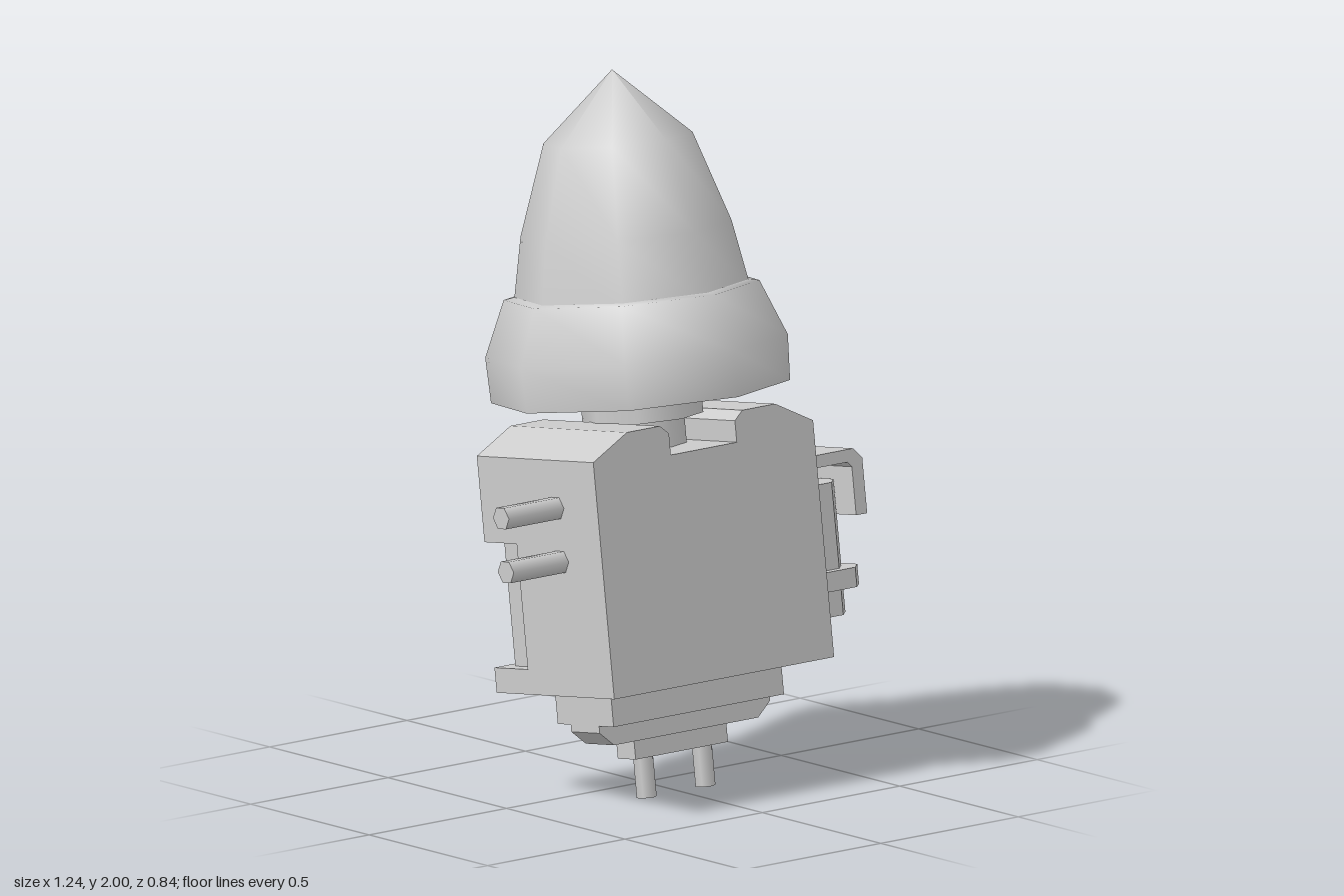
import * as THREE from 'three';

const grey = new THREE.MeshStandardMaterial({ color: 0xcccccc });

export function createModel() {
  const root = new THREE.Group();
  root.name = 'tiltedPlugLamp';
  // Everything is built upright around its own axis, then leaned back.
  const tilt = new THREE.Group();
  tilt.name = 'leaningAssembly';
  tilt.position.set(-0.02, 0, 0.16);
  tilt.rotation.x = -0.135;
  root.add(tilt);

  const add = (name, geometry) => {
    const mesh = new THREE.Mesh(geometry, grey);
    mesh.name = name;
    tilt.add(mesh);
    return mesh;
  };
  const box = (name, x0, x1, y0, y1, z0, z1) =>
    add(name, new THREE.BoxGeometry(x1 - x0, y1 - y0, z1 - z0))
      .position.set((x0 + x1) / 2, (y0 + y1) / 2, (z0 + z1) / 2);
  const outline = (pts) => new THREE.Shape(pts.map(([a, b]) => new THREE.Vector2(a, b)));
  // Front outline (x, y) run through the depth z0..z1
  const slab = (name, pts, z0, z1) =>
    add(name, new THREE.ExtrudeGeometry(outline(pts), { depth: z1 - z0, bevelEnabled: false }))
      .position.z = z0;
  // Plan outline (x, z) run through the height y0..y1
  const prism = (name, pts, y0, y1) => {
    const g = new THREE.ExtrudeGeometry(outline(pts.map(([x, z]) => [x, -z])), { depth: y1 - y0, bevelEnabled: false });
    g.rotateX(-Math.PI / 2);
    add(name, g).position.y = y0;
  };
  const lathe = (name, pts) =>
    add(name, new THREE.LatheGeometry(pts.map(([r, y]) => new THREE.Vector2(r, y)), 8));
  const rod = (name, r, length, sides, x, y, z, sideways) => {
    const m = add(name, new THREE.CylinderGeometry(r, r, length, sides));
    m.position.set(x, y, z);
    if (sideways) m.rotation.z = -Math.PI / 2;
  };
  const mirror = (pts) => [...pts, ...pts.map(([x, y]) => [-x, y]).reverse()];

  // Pointed bulb, collar and neck
  lathe('bulb', [[0.33, 1.38], [0.293, 1.575], [0.207, 1.828], [0, 2.018]]);
  lathe('collar', [[0.415, 1.12], [0.42, 1.247], [0.355, 1.403], [0.31, 1.41]]);
  lathe('collarUnderside', [[0, 1.12], [0.415, 1.12]]);
  rod('neckFlange', 0.168, 0.08, 8, 0, 1.09, 0);
  rod('neck', 0.115, 0.12, 8, 0, 1.01, 0);

  // Housing: shoulders with a notch for the neck
  const shoulders = [[0.12, 0.97], [0.12, 1.03], [0.15, 1.055], [0.27, 1.055], [0.4, 0.99]];
  slab('housingFront', mirror([...shoulders, [0.4, 0.33]]), -0.11, 0.249);
  slab('housingBack', mirror([...shoulders, [0.4, 0.75], [0.21, 0.75], [0.17, 0.7], [0.17, 0.57], [0.13, 0.53]]),
    -0.247, -0.11);
  box('basePlate', -0.4, 0.4, 0.33, 0.4, -0.252, 0.249);
  for (const s of [-1, 1]) box('rearColumn', s * 0.28 - 0.08, s * 0.28 + 0.08, 0.39, 0.77, -0.21, -0.1);

  // Bevelled plate on the back, narrowing outwards
  const plate = new THREE.BoxGeometry(0.34, 0.35, 0.08);
  const p = plate.attributes.position;
  for (let i = 0; i < p.count; i++) {
    if (p.getZ(i) < 0) p.setXY(i, p.getX(i) * 0.78, p.getY(i) * 0.78);
  }
  plate.computeVertexNormals();
  add('backPlate', plate).position.set(0, 0.768, -0.267);

  // Stepped foot with two prongs
  box('footUpper', -0.31, 0.31, 0.235, 0.34, -0.11, 0.128);
  slab('footMiddle', mirror([[0.31, 0.24], [0.31, 0.215], [0.262, 0.175]]), -0.055, 0.066);
  box('footLower', -0.168, 0.168, 0.12, 0.18, -0.036, 0.04);
  for (const s of [-1, 1]) rod('prong', 0.028, 0.14, 6, s * 0.107, 0.075, 0);

  // Two terminals on one side
  for (const y of [0.707, 0.857]) rod('sideTerminal', 0.034, 0.24, 6, -0.48, y, 0.072, true);

  // Canister with its band on the other side
  const half = (x, hz, c) => [[0.38, 0.065 - hz], [x - c, 0.065 - hz], [x, 0.065 - hz + c],
    [x, 0.065 + hz - c], [x - c, 0.065 + hz], [0.38, 0.065 + hz]];
  prism('canister', half(0.55, 0.12, 0.05), 0.43, 0.8);
  prism('canisterBand', half(0.58, 0.153, 0.05), 0.505, 0.56);

  // Angle bracket and its screw
  slab('bracket', [[0.38, 0.885], [0.57, 0.885], [0.6, 0.855], [0.6, 0.7], [0.56, 0.7],
    [0.56, 0.835], [0.545, 0.85], [0.38, 0.85]], -0.077, 0.206);
  rod('bracketScrew', 0.048, 0.06, 8, 0.61, 0.777, 0.075, true);

  return root;
}
